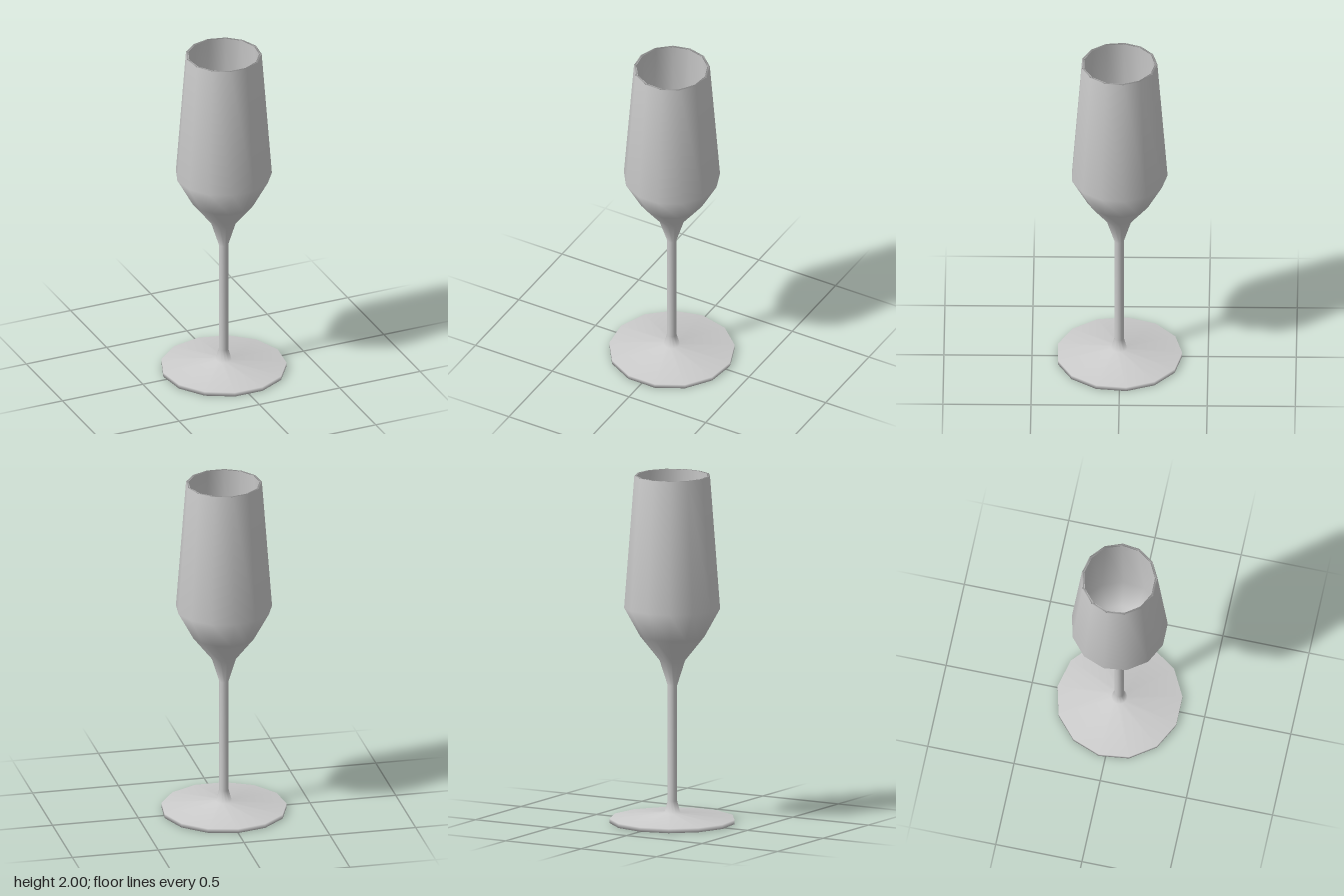
import * as THREE from 'three';

const SIDES = 13;

// Closed profile as [radius, height]: foot, stem, outer bowl, rim, inner bowl.
const foot = [[0, 0], [0.358, 0], [0.358, 0.025], [0.046, 0.056]];
const stem = [[0.027, 0.125], [0.027, 0.79]];
const outerBowl = [[0.073, 0.935], [0.184, 1.075], [0.275, 1.24], [0.217, 2]];
const innerBowl = [[0.203, 2], [0.261, 1.243], [0.174, 1.085], [0.063, 0.945], [0, 0.9]];

export function createModel() {
  const group = new THREE.Group();
  group.name = 'fluteGlass';

  const profile = [...foot, ...stem, ...outerBowl, ...innerBowl]
    .map(([r, y]) => new THREE.Vector2(r, y));

  // One smooth turned body; a corner of the polygon points to the back.
  const geometry = new THREE.LatheGeometry(profile, SIDES, Math.PI);
  const material = new THREE.MeshStandardMaterial({ color: 0xcccccc, side: THREE.DoubleSide });
  const glass = new THREE.Mesh(geometry, material);
  glass.name = 'glassBody';

  // An odd number of sides is deeper at the back, so shift it to the centre.
  glass.position.z = 0.358 * (1 - Math.cos(Math.PI / SIDES)) / 2;
  group.add(glass);
  return group;
}
